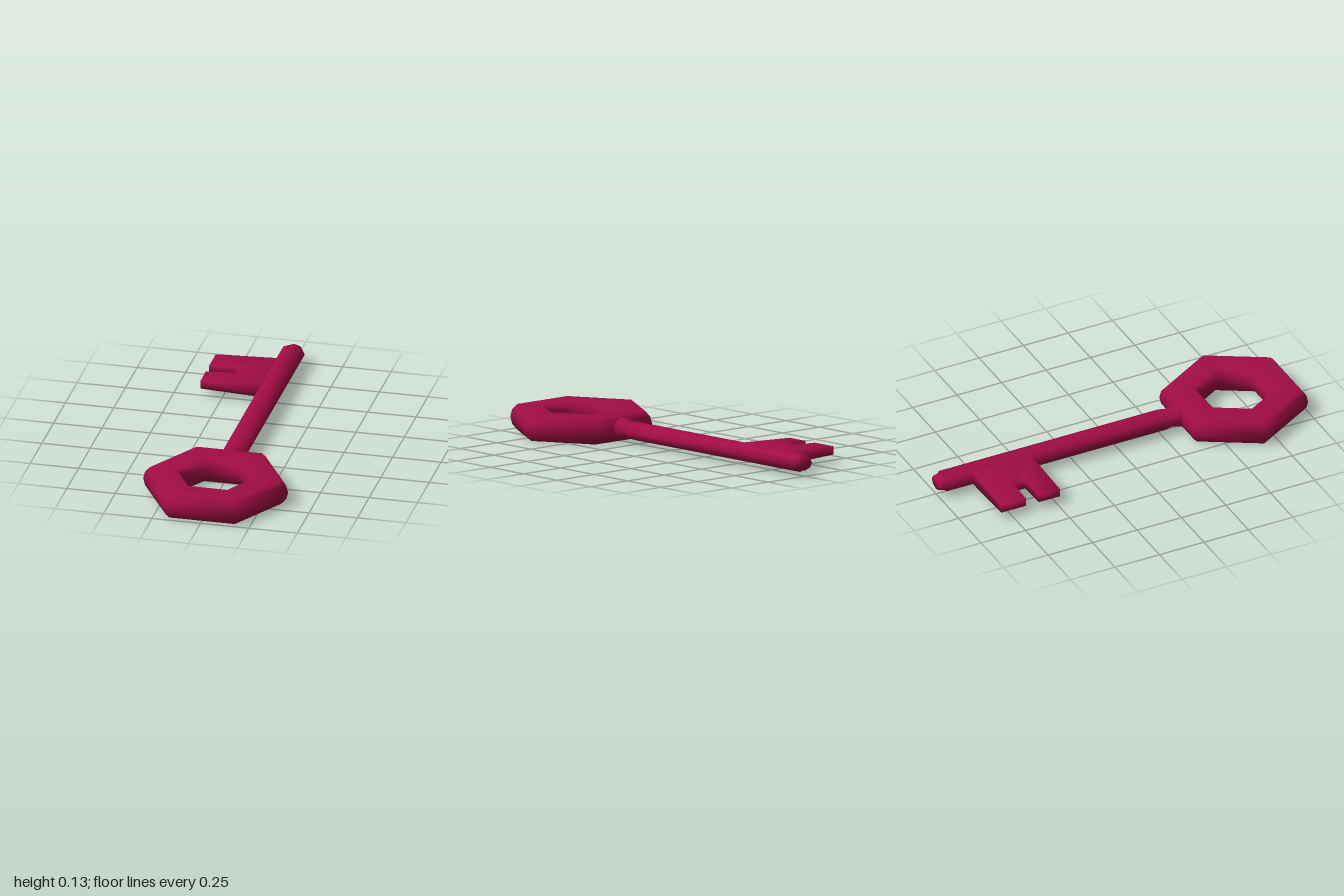
import * as THREE from 'three';
import { mergeVertices } from 'three/addons/utils/BufferGeometryUtils.js';

const MID_Y = 0.065; // height of the key's middle plane

// Weld all corners so that normals are smooth over the whole part
function soften(geometry) {
  geometry.deleteAttribute('normal');
  geometry.deleteAttribute('uv');
  const welded = mergeVertices(geometry, 1e-4);
  welded.computeVertexNormals();
  return welded;
}

const points = (list) => list.map(([x, y]) => new THREE.Vector2(x, y));

export function createModel() {
  const key = new THREE.Group();
  key.name = 'key';
  const crimson = new THREE.MeshStandardMaterial({ color: 0xa30d45 });
  crimson.name = 'crimson';

  function add(name, geometry, z = 0) {
    const mesh = new THREE.Mesh(soften(geometry), crimson);
    mesh.name = name;
    mesh.position.set(0, MID_Y, z);
    key.add(mesh);
  }

  // Hexagonal bow: flattened eight-point section swept round six sides
  const section = [
    [0.103, 0], [0.093, 0.038], [0.067, 0.065], [-0.067, 0.065], [-0.093, 0.038],
    [-0.103, 0], [-0.093, -0.038], [-0.067, -0.065], [0.067, -0.065], [0.093, -0.038], [0.103, 0],
  ].map(([r, y]) => [0.271 + r, y]);
  add('bow', new THREE.LatheGeometry(points(section), 6, Math.PI / 2), 0.675);

  // Eight-sided shaft with a stepped tip and a flare into the bow
  const shaft = new THREE.LatheGeometry(points([
    [0, -1], [0.046, -1], [0.052, -0.972], [0.064, -0.962],
    [0.064, 0.27], [0.056, 0.31], [0.074, 0.36], [0.074, 0.42], [0, 0.42],
  ]), 8);
  shaft.rotateX(Math.PI / 2);
  shaft.scale(1, 0.75, 1);
  add('shaft', shaft);

  // Notched bit, tapering away from the shaft
  const outline = new THREE.Shape(points([
    [-0.03, 0.815], [-0.36, 0.815], [-0.36, 0.675], [-0.21, 0.675],
    [-0.21, 0.605], [-0.36, 0.605], [-0.36, 0.485], [-0.03, 0.485],
  ]));
  const bit = new THREE.ExtrudeGeometry(outline, { depth: 2, bevelEnabled: false });
  bit.translate(0, 0, -1);
  bit.rotateX(-Math.PI / 2);
  const p = bit.attributes.position;
  for (let i = 0; i < p.count; i++) {
    p.setY(i, p.getY(i) * THREE.MathUtils.mapLinear(p.getX(i), -0.36, -0.03, 0.021, 0.035));
  }
  add('bit', bit);

  return key;
}
